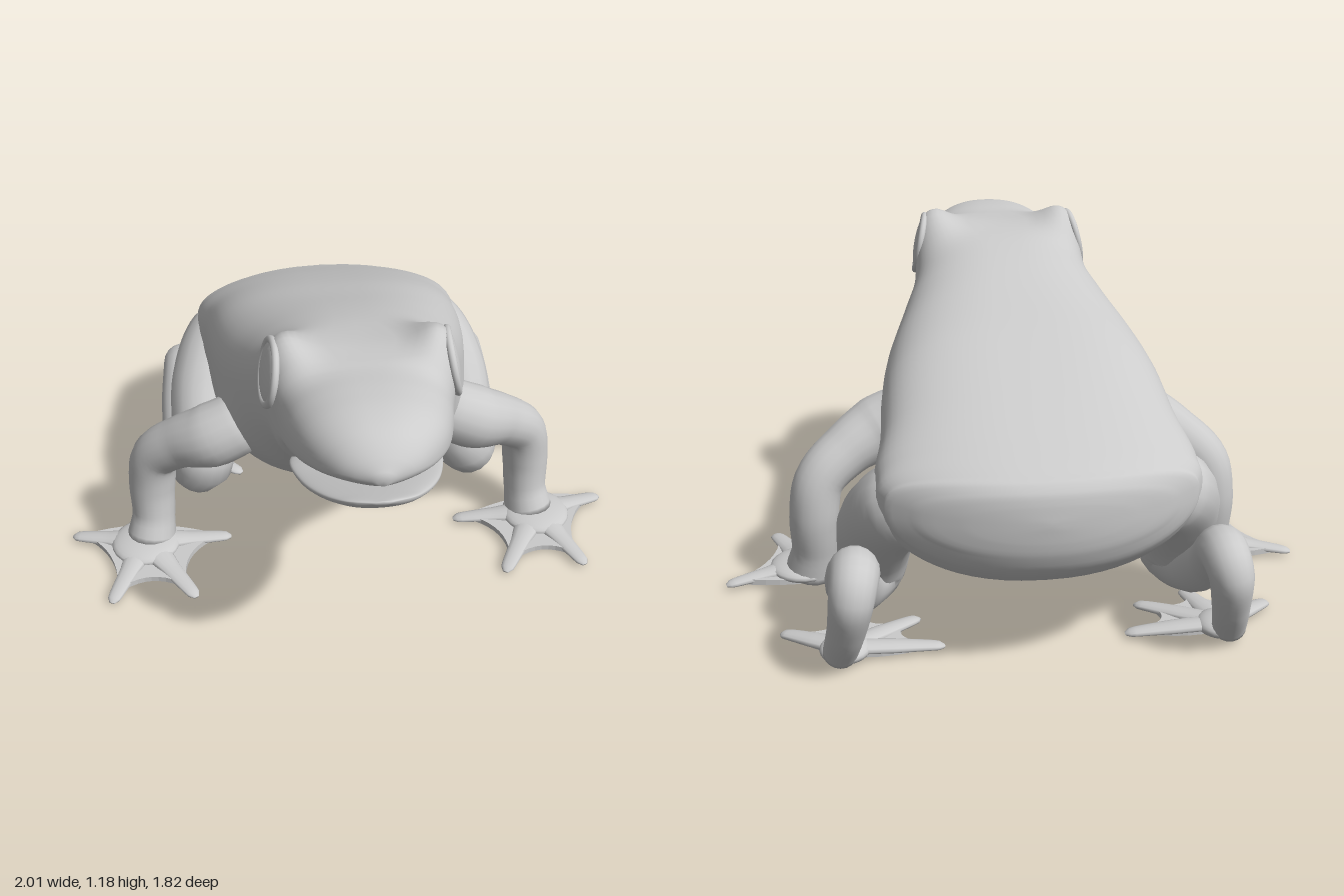
import * as THREE from 'three';

const V = (x, y, z) => new THREE.Vector3(x, y, z);
const material = new THREE.MeshStandardMaterial({ color: 0xcccccc, roughness: 0.7 });

function mesh(name, geometry) {
  const m = new THREE.Mesh(geometry, material);
  m.name = name;
  return m;
}

// Smooth closed skin over a row of rings, with a fan at each end
function skin(rings) {
  const n = rings[0].length, last = rings.length - 1, pos = [], idx = [];
  rings.forEach(r => r.forEach(p => pos.push(p.x, p.y, p.z)));
  for (const i of [0, last]) {
    const c = rings[i].reduce((a, p) => a.add(p), V(0, 0, 0)).divideScalar(n);
    pos.push(c.x, c.y, c.z);
  }
  const c0 = (last + 1) * n, c1 = c0 + 1;
  for (let j = 0; j < n; j++) {
    const k = (j + 1) % n;
    for (let i = 0; i < last; i++) {
      const a = i * n + j, b = i * n + k;
      idx.push(a, b, a + n, b, b + n, a + n);
    }
    idx.push(c0, k, j, c1, last * n + j, last * n + k);
  }
  const g = new THREE.BufferGeometry();
  g.setAttribute('position', new THREE.Float32BufferAttribute(pos, 3));
  g.setIndex(idx);
  g.computeVertexNormals();
  return g;
}

// Loft along z. Station: z, top, bottom, half width, widest height, upper power, lower power, bend
function loft(stations, shape = () => {}) {
  const size = stations[0].length - 1, rings = [], N = 64;
  const curve = new THREE.CubicInterpolant(stations.map(s => s[0]),
    stations.flatMap(s => s.slice(1)), size, new Float32Array(size));
  for (let i = 0; i < stations.length; i++) {
    const steps = i < stations.length - 1 ? 5 : 1;
    for (let k = 0; k < steps; k++) {
      const z = steps === 1 ? stations[i][0]
        : THREE.MathUtils.lerp(stations[i][0], stations[i + 1][0], k / steps);
      const [top, bot, w, cy, nt, nb, bend] = curve.evaluate(z);
      const ring = [];
      for (let j = 0; j < N; j++) {
        const a = j / N * Math.PI * 2, c = Math.cos(a), s = Math.sin(a);
        const e = 2 / (s > 0 ? nt : nb);
        const x = w * Math.sign(c) * Math.abs(c) ** e, h = Math.abs(s) ** e;
        const p = V(x, s > 0 ? cy + (top - cy) * h : cy - (cy - bot) * h, z + bend * x * x);
        shape(p, s > 0 ? h : 0);
        ring.push(p);
      }
      rings.push(ring);
    }
  }
  return skin(rings);
}

// Tapered limb; points are [x, y, z, radius], flat squashes it in height
function limb(points, side, flat = 1, steps = 40, N = 18) {
  const curve = new THREE.CatmullRomCurve3(points.map(p => V(p[0] * side, p[1], p[2])));
  const frames = curve.computeFrenetFrames(steps), rings = [];
  for (let i = 0; i <= steps; i++) {
    const u = i / steps, c = curve.getPointAt(u);
    const t = curve.getUtoTmapping(u) * (points.length - 1);
    const k = Math.min(Math.floor(t), points.length - 2);
    const r = THREE.MathUtils.lerp(points[k][3], points[k + 1][3], t - k);
    rings.push(Array.from({ length: N }, (_, j) => {
      const a = j / N * Math.PI * 2;
      const o = V(0, 0, 0).addScaledVector(frames.normals[i], r * Math.cos(a))
        .addScaledVector(frames.binormals[i], r * Math.sin(a));
      o.y *= flat;
      return o.add(c);
    }));
  }
  return skin(rings);
}

// Webbed foot: palm, thin web and one tapered toe for each tip [x, z]
function foot(name, cx, cz, tips, side, palmSize) {
  const g = new THREE.Group();
  g.name = name;
  const palm = mesh('palm', new THREE.SphereGeometry(1, 24, 14).scale(palmSize, 0.035, palmSize));
  palm.position.set(cx * side, 0.04, cz);
  g.add(palm);
  const at = (t, f) => [(cx + (t[0] - cx) * f) * side, -(cz + (t[1] - cz) * f)];
  const shape = new THREE.Shape();
  shape.moveTo(...at(tips[0], 0.85));
  for (let i = 1; i < tips.length; i++) {
    const a = tips[i - 1], b = tips[i];
    const mid = [(a[0] + b[0]) / 2, (a[1] + b[1]) / 2];
    shape.quadraticCurveTo(...at(mid, 0.45), ...at(b, 0.85));
  }
  shape.quadraticCurveTo(cx * side, -cz + palmSize * 1.2, ...at(tips[0], 0.85));
  g.add(mesh('web', new THREE.ExtrudeGeometry(shape, { depth: 0.02, bevelEnabled: false, curveSegments: 10 })
    .rotateX(-Math.PI / 2).translate(0, 0.016, 0)));
  for (const [x, z] of tips) {
    const mix = f => [cx + (x - cx) * f, cz + (z - cz) * f];
    const [x1, z1] = mix(0.5), [x2, z2] = mix(0.94);
    g.add(mesh('toe', limb([[cx, 0.045, cz, palmSize * 0.5], [x1, 0.034, z1, 0.036],
      [x2, 0.022, z2, 0.024], [x, 0.018, z, 0.01]], side, 0.45, 18, 12)));
  }
  return g;
}

export function createModel() {
  const frog = new THREE.Group();
  frog.name = 'frog';

  // Trunk, skull and upper jaw in one skin, swelling at brows, shoulders and hips
  const swell = (p, y, z, ry, rz) => Math.exp(-(((p.y - y) / ry) ** 2) - ((p.z - z) / rz) ** 2);
  frog.add(mesh('body', loft([
    [-0.912, 0.575, 0.555, 0.03, 0.565, 2.2, 2.2, 0.6],
    [-0.907, 0.625, 0.50, 0.26, 0.565, 2.5, 2.4, 0.6],
    [-0.893, 0.665, 0.445, 0.40, 0.57, 2.8, 2.4, 0.6],
    [-0.85, 0.695, 0.375, 0.455, 0.58, 3, 2.4, 0.52],
    [-0.75, 0.745, 0.31, 0.465, 0.59, 3, 2.5, 0.4],
    [-0.55, 0.84, 0.25, 0.46, 0.62, 2.9, 2.5, 0.2],
    [-0.30, 0.945, 0.21, 0.455, 0.66, 2.8, 2.5, 0],
    [-0.10, 1.015, 0.25, 0.43, 0.70, 2.6, 2.4, 0],
    [0.10, 1.085, 0.41, 0.37, 0.78, 2.5, 2.3, 0],
    [0.25, 1.125, 0.55, 0.315, 0.86, 2.9, 2.3, 0],
    [0.40, 1.145, 0.68, 0.287, 0.93, 4.6, 2.4, 0],
    [0.50, 1.15, 0.755, 0.272, 0.95, 3.4, 2.6, 0],
    [0.55, 1.15, 0.86, 0.26, 0.96, 2.7, 3.2, 0],
    [0.65, 1.155, 0.905, 0.24, 0.99, 2.4, 3.2, 0],
    [0.75, 1.15, 0.945, 0.205, 1.01, 2.3, 3, 0],
    [0.83, 1.125, 0.975, 0.15, 1.02, 2.2, 2.6, 0],
    [0.88, 1.085, 0.99, 0.09, 1.03, 2, 2, 0],
    [0.91, 1.045, 1.01, 0.02, 1.03, 2, 2, 0],
  ], (p, h) => {
    const out = Math.min(1, Math.abs(p.x) / 0.25) ** 3 * Math.sign(p.x);
    const push = 0.03 * swell(p, 0.55, 0.02, 0.12, 0.11) + 0.03 * swell(p, 0.55, -0.62, 0.16, 0.14)
      + 0.014 * swell(p, 1.1, 0.41, 0.08, 0.1);
    const dx = Math.abs(p.x) - 0.235, dz = p.z - 0.41;
    p.y += 0.068 * h * Math.exp(-dx * dx / 0.006 - dz * dz / 0.013);
    p.x += out * push;
  })));

  // Lower jaw, set into the throat
  frog.add(mesh('lowerJaw', loft([
    [0.42, 0.80, 0.74, 0.19, 0.775, 3, 2.4, 0],
    [0.53, 0.845, 0.785, 0.23, 0.82, 2.2, 2.6, 0],
    [0.65, 0.875, 0.815, 0.215, 0.85, 2.2, 2.6, 0],
    [0.75, 0.905, 0.85, 0.18, 0.88, 2.2, 2.6, 0],
    [0.83, 0.93, 0.88, 0.13, 0.91, 2.2, 2.4, 0],
    [0.88, 0.945, 0.91, 0.08, 0.935, 2.2, 2.2, 0],
    [0.905, 0.952, 0.94, 0.02, 0.946, 2, 2, 0],
  ])));

  for (const side of [1, -1]) {
    const label = side > 0 ? 'left' : 'right';

    // Eye with a raised rim
    const eye = new THREE.Group();
    eye.name = label + 'Eye';
    eye.add(mesh('eyeball', new THREE.SphereGeometry(0.092, 32, 20).scale(1, 1, 0.22)));
    eye.add(mesh('eyeRim', new THREE.TorusGeometry(0.098, 0.012, 12, 40)));
    eye.position.set(0.277 * side, 1.07, 0.415);
    eye.quaternion.setFromUnitVectors(V(0, 0, 1), V(side, 0.2, 0.08).normalize());
    frog.add(eye);

    // Front leg: shoulder, elbow, wrist
    frog.add(mesh(label + 'FrontLeg', limb([
      [0.22, 0.62, -0.04, 0.06], [0.36, 0.575, -0.015, 0.11], [0.46, 0.53, -0.015, 0.115],
      [0.57, 0.475, -0.06, 0.093], [0.665, 0.39, -0.105, 0.085], [0.69, 0.26, -0.115, 0.084],
      [0.695, 0.13, -0.095, 0.077], [0.71, 0.04, -0.07, 0.09],
    ], side)));
    frog.add(foot(label + 'FrontFoot', 0.73, -0.04,
      [[1.0, -0.125], [0.85, 0.245], [0.555, 0.25], [0.42, -0.06]], side, 0.125));

    // Folded hind leg: hip, knee, heel, ankle
    frog.add(mesh(label + 'HindLeg', limb([
      [0.25, 0.58, -0.70, 0.07], [0.40, 0.53, -0.63, 0.135], [0.475, 0.41, -0.50, 0.13],
      [0.495, 0.26, -0.365, 0.12], [0.51, 0.165, -0.325, 0.115], [0.55, 0.145, -0.40, 0.097],
      [0.575, 0.25, -0.57, 0.078], [0.56, 0.355, -0.725, 0.077], [0.57, 0.31, -0.785, 0.07],
      [0.59, 0.18, -0.745, 0.06], [0.615, 0.05, -0.66, 0.054],
    ], side, 1, 80)));
    frog.add(foot(label + 'HindFoot', 0.60, -0.62,
      [[0.80, -0.47], [0.54, -0.36], [0.36, -0.43], [0.29, -0.61]], side, 0.08));
  }
  return frog;
}
